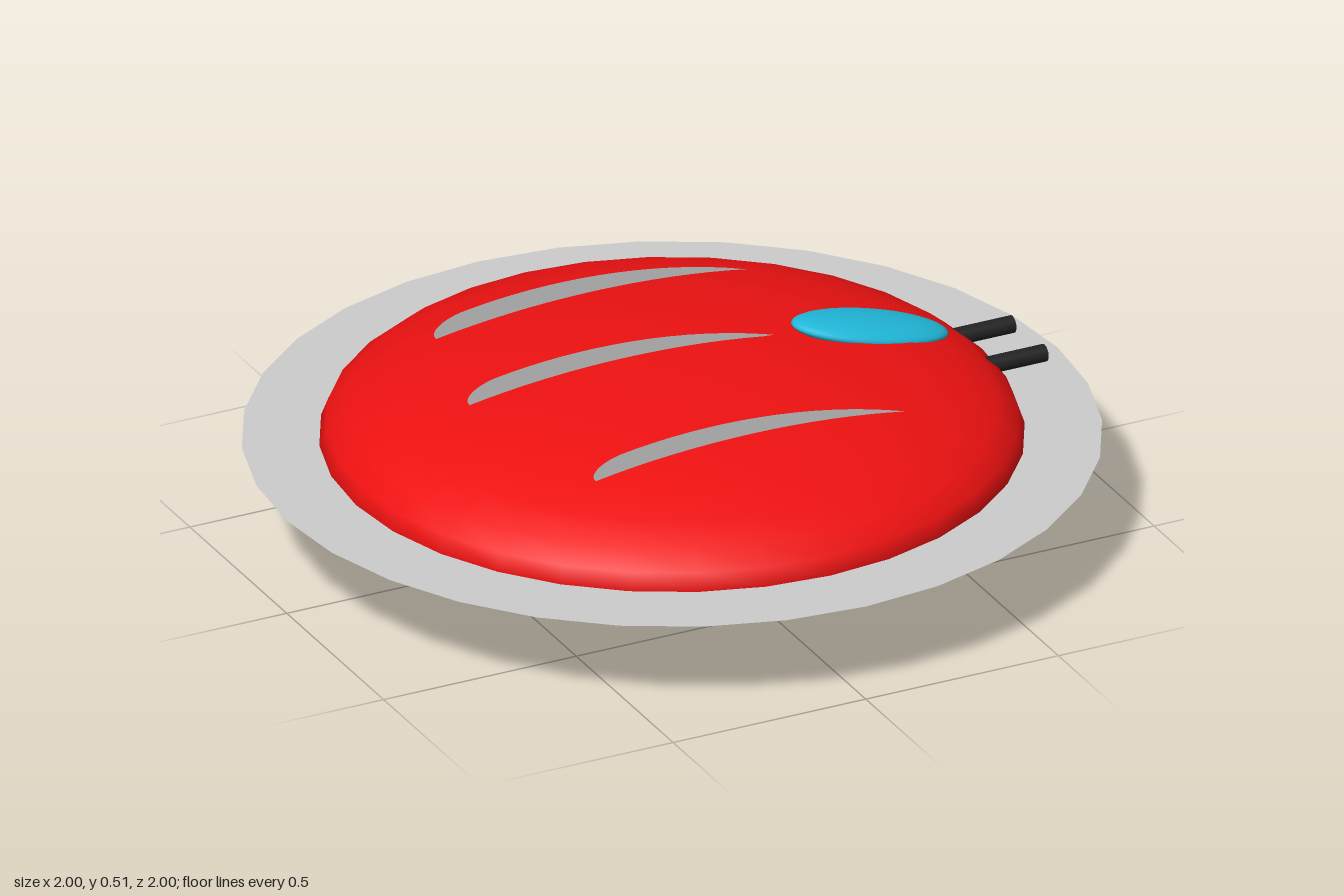
import * as THREE from 'three';

export function createModel() {
  const model = new THREE.Group();
  const mat = (color, side = THREE.FrontSide) => new THREE.MeshStandardMaterial({ color, side });
  const grey = mat(0xcccccc);
  const greySheet = mat(0xcccccc, THREE.DoubleSide);
  const red = mat(0xee1111);
  const cyan = mat(0x22bbdd);
  const green = mat(0x55aa22);
  const black = mat(0x222222);

  const add = (name, geometry, material, x, y, z) => {
    const mesh = new THREE.Mesh(geometry, material);
    mesh.name = name;
    mesh.position.set(x, y, z);
    model.add(mesh);
    return mesh;
  };

  // Saucer hull: a flattened sphere
  add('hull', new THREE.SphereGeometry(0.82, 32, 16), red, 0, 0.24, 0).scale.y = 0.21 / 0.82;

  // Thin flat rim around the waist
  add('rim', new THREE.CircleGeometry(1, 32), greySheet, 0, 0.24, 0).rotation.x = -Math.PI / 2;

  // Landing ring, square in section and sunk into the hull
  const section = [[0.29, 0.06], [0.29, 0], [0.41, 0], [0.41, 0.06], [0.29, 0.06]];
  const ring = new THREE.LatheGeometry(section.map(([r, y]) => new THREE.Vector2(r, y)), 32);
  add('landingRing', ring, grey, 0, 0, 0);

  // Cockpit canopy lying on the forward slope
  const canopy = add('canopy', new THREE.SphereGeometry(1, 32, 16), cyan, 0.513, 0.4, 0);
  canopy.scale.set(0.205, 0.03, 0.095);
  canopy.rotation.z = -0.245;

  // Crescent fins: blunt at the rear, pointed at the front
  const fin = new THREE.Shape();
  fin.moveTo(-0.405, 0);
  fin.bezierCurveTo(-0.425, 0.02, -0.39, 0.045, -0.34, 0.055);
  fin.bezierCurveTo(-0.12, 0.09, 0.15, 0.08, 0.4, 0);
  fin.bezierCurveTo(0.15, 0.043, -0.15, 0.043, -0.405, 0);
  const finGeometry = new THREE.ShapeGeometry(fin, 16);
  add('middleFin', finGeometry, greySheet, -0.12, 0.433, 0);
  for (const side of [-1, 1]) {
    add('sideFin', finGeometry, greySheet, 0, 0.393, side * 0.412);

    // Twin gun barrels at the nose
    const barrel = new THREE.CylinderGeometry(0.021, 0.021, 0.155, 16);
    add('gunBarrel', barrel, black, 0.848, 0.28, side * 0.083).rotation.z = -Math.PI / 2;
  }

  // Ring of small lights below the rim
  const lightGeometry = new THREE.SphereGeometry(0.024, 12, 8);
  for (let i = 0; i < 8; i++) {
    const a = (i * Math.PI) / 4;
    const light = add('light', lightGeometry, green, 0.745 * Math.cos(a), 0.141, 0.745 * Math.sin(a));
    light.scale.y = 0.6;
  }

  return model;
}
